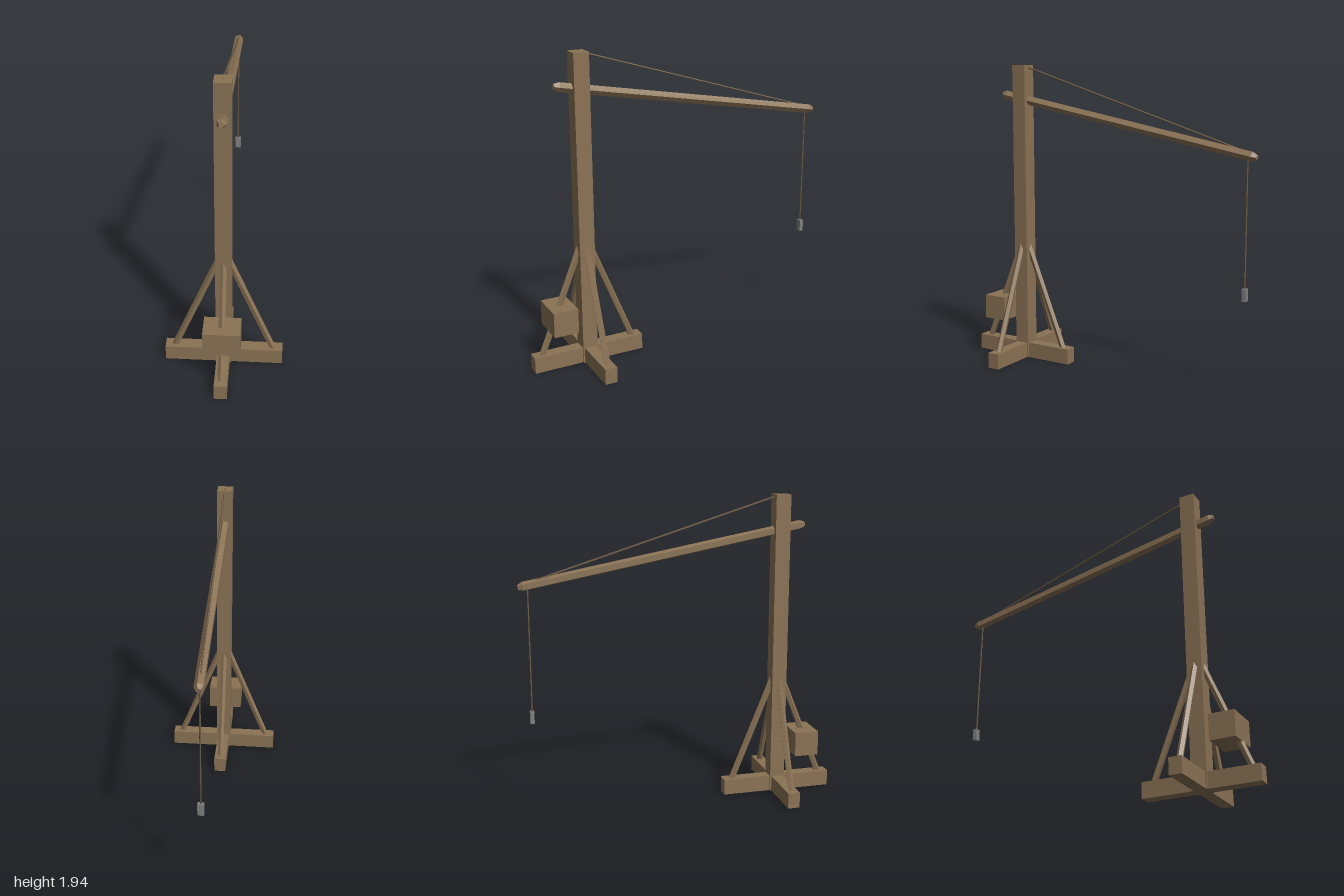
import * as THREE from 'three';

const wood = new THREE.MeshStandardMaterial({ color: 0x8b7355 });
wood.name = 'wood';
const ropeBrown = new THREE.MeshStandardMaterial({ color: 0x6b5a45 });
ropeBrown.name = 'ropeBrown';
const iron = new THREE.MeshStandardMaterial({ color: 0x808080 });
iron.name = 'iron';

const MAST_Z = 0.64;

export function createModel() {
  const group = new THREE.Group();
  const v = (x, y, z) => new THREE.Vector3(x, y, z);

  function box(name, material, w, h, d, x, y, z) {
    const mesh = new THREE.Mesh(new THREE.BoxGeometry(w, h, d), material);
    mesh.name = name;
    mesh.position.set(x, y, z);
    group.add(mesh);
  }

  // Five-sided faceted pole with tapered ends; one ridge faces "ridge"
  function pole(name, material, from, to, radius, ridge, taper = 0, tipRadius = radius) {
    const axis = to.clone().sub(from);
    const length = axis.length();
    axis.normalize();
    const profile = [[0, 0], [tipRadius, 0]];
    if (taper > 0) profile.push([radius, taper], [radius, length - taper]);
    profile.push([tipRadius, length], [0, length]);
    const geometry = new THREE.LatheGeometry(
      profile.map(([r, y]) => new THREE.Vector2(r, y)), 5).toNonIndexed();
    geometry.computeVertexNormals();
    const side = axis.clone().cross(ridge).normalize();
    const out = side.clone().cross(axis);
    geometry.applyMatrix4(new THREE.Matrix4().makeBasis(side, axis, out).setPosition(from));
    const mesh = new THREE.Mesh(geometry, material);
    mesh.name = name;
    group.add(mesh);
  }

  // Crossed base beams and mast
  box('baseBeamAcross', wood, 0.72, 0.1, 0.077, 0, 0.05, MAST_Z);
  box('baseBeamLengthwise', wood, 0.077, 0.1, 0.72, 0, 0.05, MAST_Z);
  box('mast', wood, 0.096, 1.935, 0.096, 0, 0.9675, MAST_Z);

  // Four diagonal braces around the mast
  ['front', 'left', 'back', 'right'].forEach((label, i) => {
    const a = i * Math.PI / 2;
    const out = v(Math.sin(a), 0, Math.cos(a));
    const at = (r, y) => v(out.x * r, y, MAST_Z + out.z * r);
    pole(label + 'Brace', wood, at(0.318, 0.05), at(0.014, 0.8), 0.0205, out);
  });

  // Counterweight block on the front brace
  box('counterweight', wood, 0.222, 0.157, 0.157, 0, 0.327, 0.816);

  // Sloping boom through the mast
  pole('boom', wood, v(0, 1.748, 0.797), v(0, 1.42, -0.997), 0.03, v(1, 0, 0), 0.03, 0.017);

  // Stay rope, hoist rope and hanging weight
  pole('stayRope', ropeBrown, v(0, 1.934, MAST_Z), v(0, 1.438, -0.965), 0.006, v(1, 0, 0));
  pole('hoistRope', ropeBrown, v(0, 0.64, -0.94), v(0, 1.42, -0.94), 0.005, v(1, 0, 0));
  box('hangingWeight', iron, 0.038, 0.075, 0.025, 0, 0.617, -0.941);

  return group;
}
